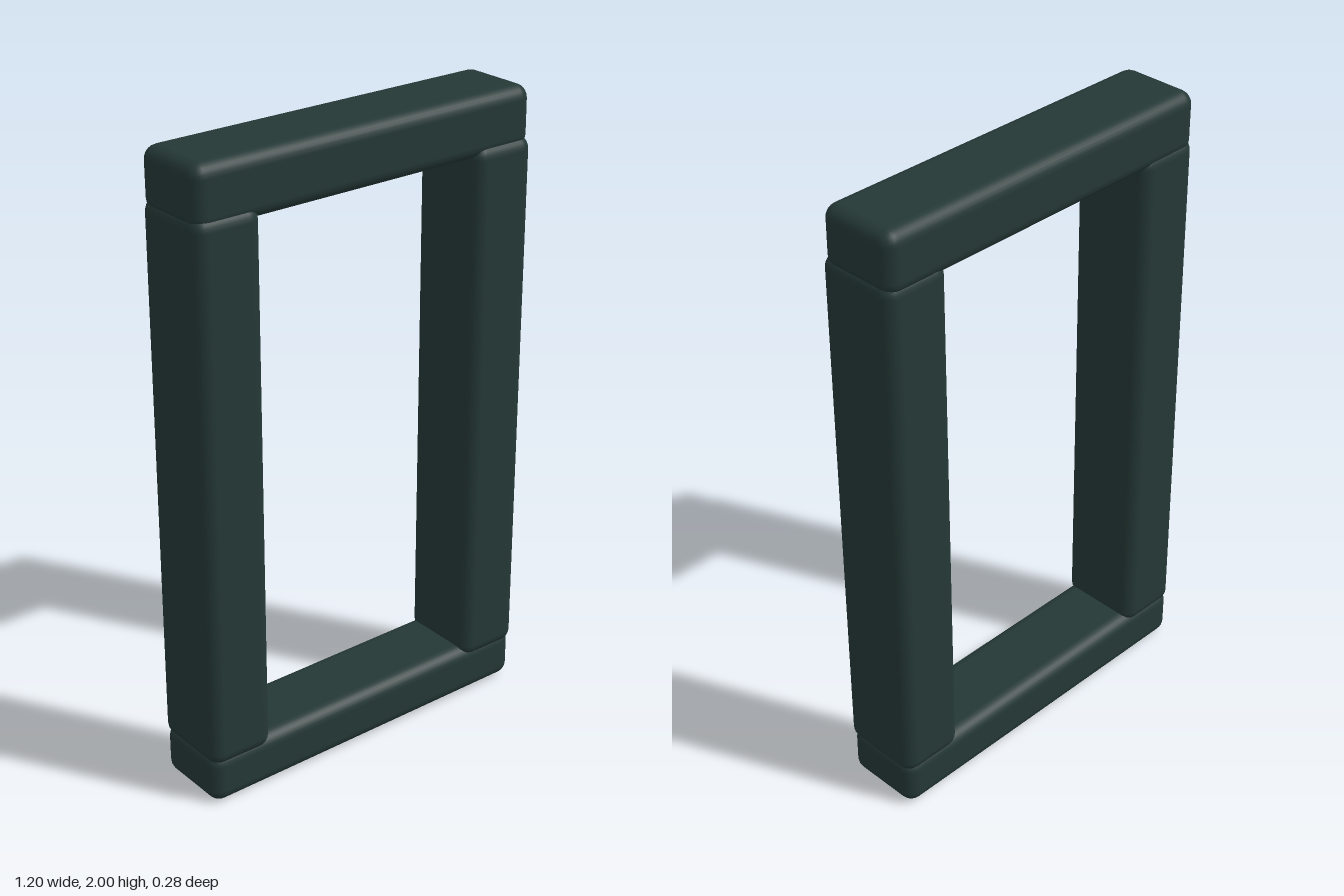
import * as THREE from 'three';
import { RoundedBoxGeometry } from 'three/addons/geometries/RoundedBoxGeometry.js';

export function createModel() {
  const group = new THREE.Group();
  const darkGreen = new THREE.MeshStandardMaterial({ color: 0x243836 });
  darkGreen.name = 'darkGreen';

  // A beam with softly worn edges
  function beam(name, size, position, tiltY = 0, tiltZ = 0) {
    const mesh = new THREE.Mesh(new RoundedBoxGeometry(...size, 3, 0.042), darkGreen);
    mesh.name = name;
    mesh.position.set(...position);
    mesh.rotation.set(0, tiltY, tiltZ);
    group.add(mesh);
  }

  // Upright posts, slightly deeper than the rails they overlap
  beam('leftPost', [0.216, 1.715, 0.274], [0.49, 0.992, 0]);
  beam('rightPost', [0.216, 1.715, 0.274], [-0.49, 0.992, 0.001]);

  // Rails capping the posts, set very slightly askew
  beam('topRail', [1.19, 0.19, 0.264], [0, 1.902, -0.004], 0.004, 0.005);
  beam('bottomRail', [1.19, 0.168, 0.264], [0, 0.087, -0.002], 0.003, 0.004);

  return group;
}
